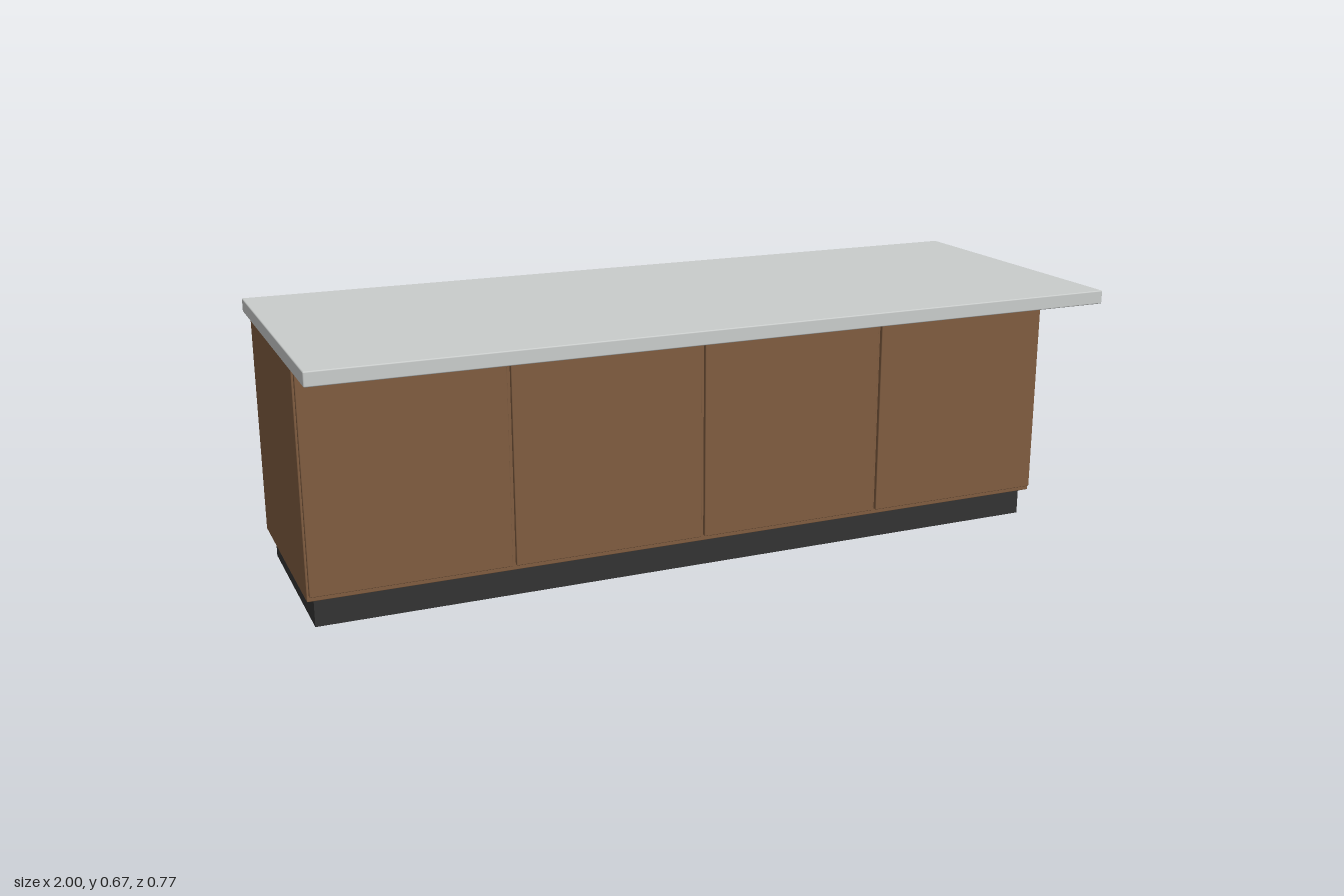
import * as THREE from 'three';
import { RoundedBoxGeometry } from 'three/addons/geometries/RoundedBoxGeometry.js';

export function createModel() {
  const group = new THREE.Group();
  group.name = 'kitchenIsland';

  const material = (name, color) => {
    const m = new THREE.MeshStandardMaterial({ color });
    m.name = name;
    return m;
  };
  const wood = material('brown wood', 0x7f5c40);
  const stone = material('pale grey stone', 0xc9cccb);
  const dark = material('dark plinth', 0x333333);

  // Box given by its limits on each axis, with slightly eased edges
  const box = (name, mat, [x0, x1], [y0, y1], [z0, z1], radius) => {
    const size = [x1 - x0, y1 - y0, z1 - z0];
    const geometry = radius
      ? new RoundedBoxGeometry(...size, 2, radius)
      : new THREE.BoxGeometry(...size);
    const mesh = new THREE.Mesh(geometry, mat);
    mesh.name = name;
    mesh.position.set((x0 + x1) / 2, (y0 + y1) / 2, (z0 + z1) / 2);
    group.add(mesh);
  };

  // Recessed plinth, cabinet body and overhanging worktop
  box('plinth', dark, [-0.967, 0.967], [0, 0.071], [-0.355, 0.135]);
  box('cabinetBody', wood, [-0.985, 0.985], [0.071, 0.638], [-0.373, 0.153], 0.002);
  box('worktop', stone, [-1, 1], [0.638, 0.672], [-0.387, 0.387], 0.003);

  // Four front doors, separated by narrow gaps
  const pitch = 0.4925;
  const half = 0.2415;
  for (let i = 0; i < 4; i++) {
    const x = (i - 1.5) * pitch;
    box('door' + (i + 1), wood, [x - half, x + half], [0.085, 0.623], [0.152, 0.164], 0.002);
  }

  return group;
}
